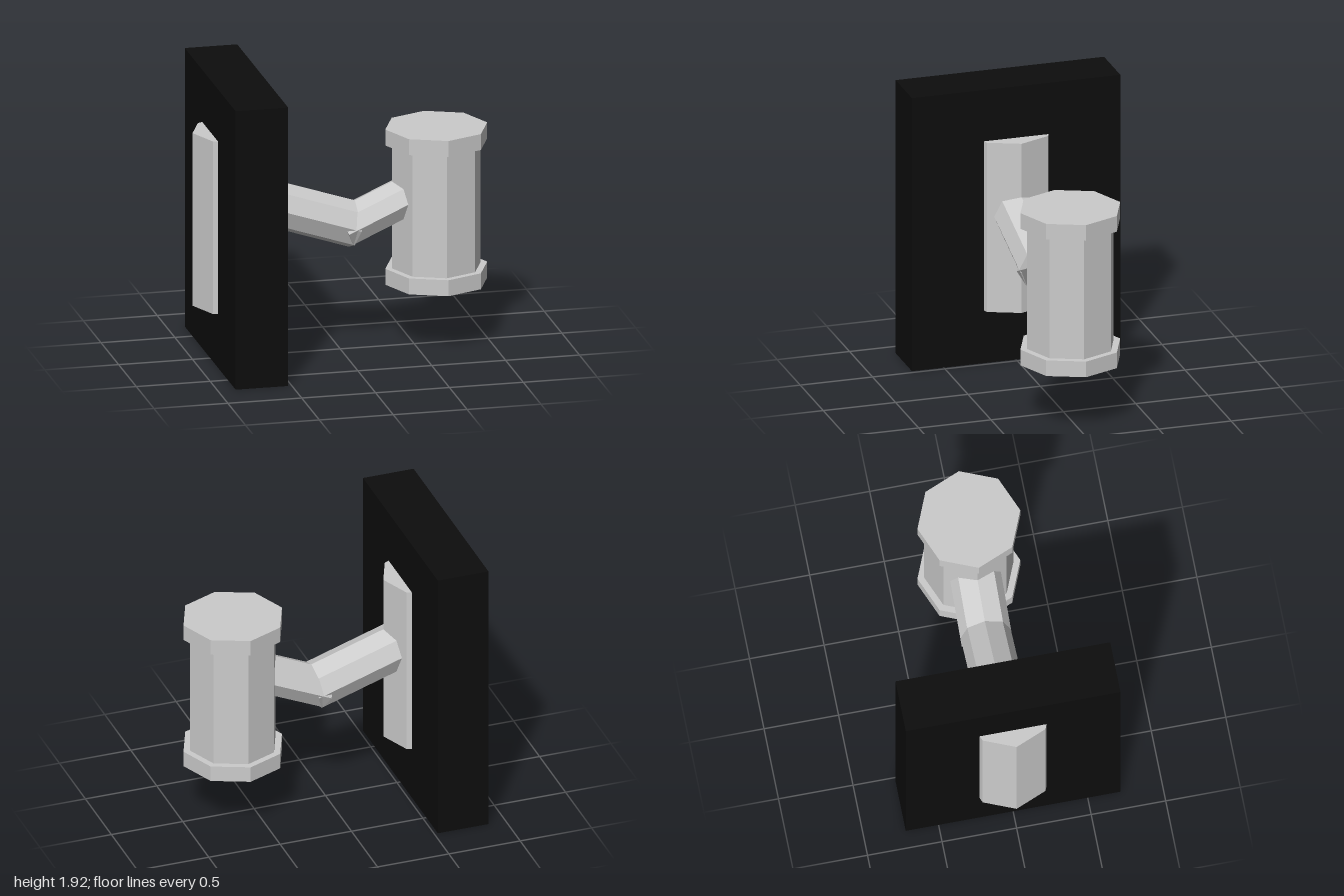
import * as THREE from 'three';

const grey = new THREE.MeshStandardMaterial({ color: 0xcccccc, flatShading: true });
const black = new THREE.MeshStandardMaterial({ color: 0x0d0d0d, flatShading: true });

export function createModel() {
  const model = new THREE.Group();

  const add = (name, geometry, material, x, y) => {
    const mesh = new THREE.Mesh(geometry, material);
    mesh.name = name;
    mesh.position.set(x, y, 0);
    model.add(mesh);
    return mesh;
  };

  // Upright octagonal prism between two heights
  const prism = (name, x, radius, y0, y1) =>
    add(name, new THREE.CylinderGeometry(radius, radius, y1 - y0, 8), grey, x, (y0 + y1) / 2);

  // Octagonal bar between two points in the z = 0 plane
  const bar = (name, [x0, y0], [x1, y1], radius, radiusZ) => {
    const length = Math.hypot(x1 - x0, y1 - y0);
    const geometry = new THREE.CylinderGeometry(1, 1, length, 8).scale(radius, 1, radiusZ);
    const mesh = add(name, geometry, grey, (x0 + x1) / 2, (y0 + y1) / 2);
    mesh.rotation.z = Math.atan2(y1 - y0, x1 - x0) - Math.PI / 2;
  };

  // Wall slab with the mounting column running through it
  add('wallSlab', new THREE.BoxGeometry(0.355, 1.92, 1.44), black, -0.7025, 0.96);
  prism('mountColumn', -0.7025, 0.2975, 0.37, 1.56);

  // Bent arm: two bars overlapping at the elbow
  bar('upperArm', [-0.6, 1.083], [0.105, 0.85], 0.157, 0.168);
  bar('foreArm', [0.02, 0.835], [0.6, 1.094], 0.134, 0.17);

  // Canister with a wider rim at each end
  prism('canisterBody', 0.65, 0.3, 0.5, 1.41);
  prism('bottomRim', 0.65, 0.345, 0.42, 0.53);
  prism('topRim', 0.65, 0.345, 1.38, 1.49);

  return model;
}
